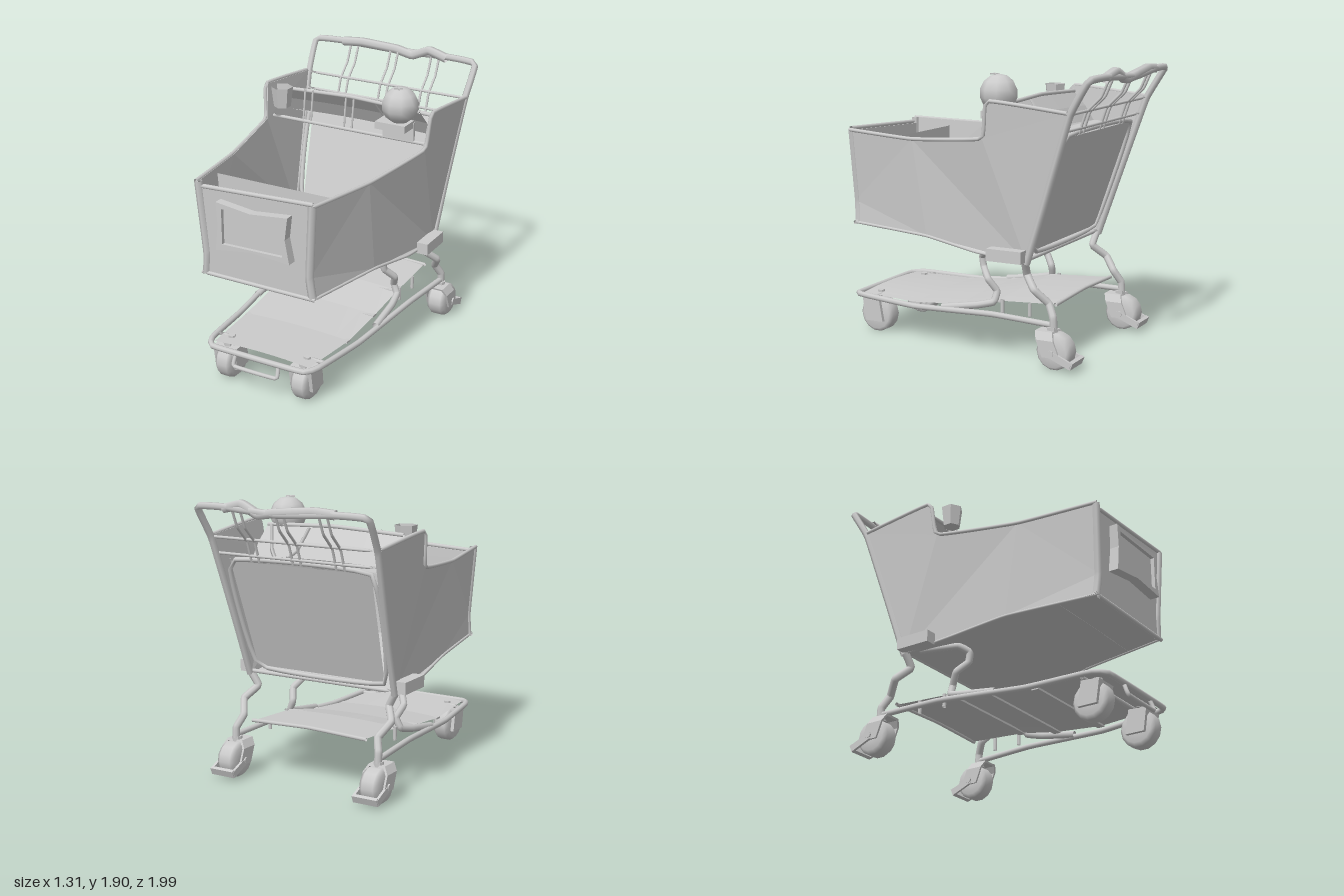
import * as THREE from 'three';

const V = (x, y, z) => new THREE.Vector3(x, y, z);
const grey = new THREE.MeshStandardMaterial({ color: 0xcccccc, side: THREE.DoubleSide, flatShading: true });
const smooth = new THREE.MeshStandardMaterial({ color: 0xcccccc, side: THREE.DoubleSide });

export function createModel() {
  const root = new THREE.Group();
  const add = (name, geo, pos = [0, 0, 0], mat = grey, parent = root) => {
    const m = new THREE.Mesh(geo, mat);
    m.name = name;
    m.position.set(...pos);
    parent.add(m);
    return m;
  };
  const box = (name, size, pos, parent = root) => add(name, new THREE.BoxGeometry(...size), pos, grey, parent);
  // Bent pipe through points, with tight corners
  const pipe = (name, pts, r, closed = false, sides = 8) => {
    const c = new THREE.CatmullRomCurve3(pts.map(p => V(...p)), closed, 'catmullrom', 0.15);
    return add(name, new THREE.TubeGeometry(c, pts.length * 8, r, sides, closed), [0, 0, 0], smooth);
  };
  // Sheet from cross-sections [halfWidth, y, z], raised by bulge in the middle
  const sheet = (name, rows, bulge = 0) => {
    const n = 8, g = new THREE.PlaneGeometry(1, 1, n, rows.length - 1), p = g.attributes.position;
    rows.forEach(([w, y, z], j) => {
      for (let i = 0; i <= n; i++) {
        const u = i / n * 2 - 1;
        p.setXYZ(j * (n + 1) + i, u * w, y + bulge * (1 - u * u), z);
      }
    });
    g.computeVertexNormals();
    return add(name, g);
  };
  const outline = pts => new THREE.Shape(pts.map(p => new THREE.Vector2(...p)));
  const extrude = (shape, depth) => new THREE.ExtrudeGeometry(shape, { depth, bevelEnabled: false });

  // Half width of the basket at a height and depth
  const halfWidth = (z, y) => {
    const t = Math.min(1, Math.max(0, (0.94 - z) / 1.14));
    const pinch = z > 0.8 ? 0.035 * Math.max(0, 1 - Math.abs(y - 0.93) / 0.4) : 0;
    return 0.425 + 0.195 * t - 0.055 * t * (1.45 - y) / 0.75 - pinch;
  };

  // Basket sides with rim pipes
  const sideOutline = [[0.92, 0.78], [0.93, 0.93], [0.95, 1.42], [0.4, 1.4], [-0.18, 1.45], [-0.23, 1.69],
    [-0.78, 1.64], [-0.6, 1.05], [-0.47, 0.67], [-0.1, 0.70], [0.3, 0.76]];
  for (const s of [1, -1]) {
    const g = extrude(outline(sideOutline), 0.016), p = g.attributes.position;
    for (let i = 0; i < p.count; i++) {
      const z = p.getX(i), y = p.getY(i), d = p.getZ(i);
      p.setXYZ(i, s * (halfWidth(z, y) - d), y, z);
    }
    g.computeVertexNormals();
    add('basketSide', g);
    const on = ([z, y]) => [s * halfWidth(z, y), y, z];
    pipe('sideRim', sideOutline.slice(2, 7).map(on), 0.013);
    pipe('sideBottomRim', [...sideOutline.slice(8), sideOutline[0]].map(on), 0.01);
    pipe('frontCornerPost', sideOutline.slice(0, 3).map(([z, y]) => [s * (halfWidth(z, y) - 0.012), y, z - 0.012]), 0.027, false, 6);
  }

  // Basket floor, front panel and inner board
  sheet('basketFloor', [[0.42, 0.78, 0.92], [0.49, 0.76, 0.3], [0.54, 0.70, -0.1], [0.56, 0.67, -0.47]]);
  const front = add('frontPanel', extrude(outline([[-0.42, 0.78], [-0.38, 0.93], [-0.42, 1.38], [0.42, 1.42],
    [0.38, 0.93], [0.42, 0.78]]), 0.02), [0, 0, 0.9]);
  front.geometry.translate(0, -0.78, 0).rotateX(0.03).translate(0, 0.78, 0);
  pipe('frontTopRim', [[-0.42, 1.39, 0.94], [0.42, 1.43, 0.94]], 0.015);
  pipe('frontBottomRim', [[-0.42, 0.78, 0.92], [0.42, 0.78, 0.92]], 0.014);
  sheet('innerBoard', [[0.455, 1.37, 0.67], [0.43, 0.77, 0.66]]);

  // Framed plate on the front
  const frame = outline([[-0.25, 1.33], [0, 1.3], [0.27, 1.33], [0.25, 1.18], [0.28, 1.02], [0, 1.04], [-0.26, 1.0], [-0.24, 1.17]]);
  frame.holes.push(outline([[-0.21, 1.29], [-0.21, 1.05], [0.23, 1.06], [0.23, 1.29]]));
  add('plateFrame', extrude(frame, 0.07), [0, 0, 0.925]);
  box('plate', [0.46, 0.25, 0.05], [0.01, 1.17, 0.945]);

  // Rear gate hung between the uprights
  const gateZ = y => -0.45 - (y - 0.66) * 0.325;
  sheet('rearGate', [[0.53, 1.47, gateZ(1.47)], [0.49, 0.73, gateZ(0.73)]]);
  pipe('gateFrame', [[-0.53, 1.47, gateZ(1.47)], [0.53, 1.47, gateZ(1.47)], [0.49, 0.73, gateZ(0.73)], [-0.49, 0.73, gateZ(0.73)]], 0.016, true);
  pipe('gateHinge', [[-0.56, 0.68, -0.46], [0.56, 0.68, -0.46]], 0.014);
  pipe('gateTopBar', [[-0.6, 1.52, -0.745], [0.6, 1.52, -0.745]], 0.01);
  pipe('backBar', [[-0.62, 1.63, -0.785], [0.62, 1.63, -0.785]], 0.01);

  // Uprights and handle
  pipe('handleFrame', [[-0.56, 0.66, -0.47], [-0.58, 1.05, -0.6], [-0.62, 1.62, -0.79], [-0.63, 1.84, -0.92], [-0.4, 1.85, -0.94],
    [0, 1.83, -0.97], [0.4, 1.85, -0.94], [0.63, 1.84, -0.92], [0.62, 1.62, -0.79], [0.58, 1.05, -0.6], [0.56, 0.66, -0.47]], 0.024, false, 6);
  pipe('handleGrip', [[-0.41, 1.85, -0.93], [-0.26, 1.86, -0.94], [0, 1.84, -0.965], [0.14, 1.82, -0.95], [0.27, 1.875, -0.94],
    [0.41, 1.84, -0.93]], 0.033, false, 6);
  for (const x of [-0.32, 0, 0.32]) for (const d of [-0.03, 0.03]) {
    pipe('backWire', [[x + d, 1.83, -0.93], [x + d, 1.72, -0.88], [x + d, 1.62, -0.78], [x + d, 1.48, -0.73]], 0.009, false, 6);
    pipe('seatWire', [[x + d, 1.68, -0.28], [x + d, 1.46, -0.25]], 0.008, false, 6);
  }

  // Folding child seat with a forward-leaning backrest
  sheet('seat', [[0.54, 1.48, -0.71], [0.55, 1.46, -0.58], [0.55, 1.46, -0.43]]);
  sheet('backrest', [[0.55, 1.46, -0.43], [0.54, 1.56, -0.37], [0.52, 1.66, -0.29]], 0.015);
  pipe('seatTopRim', [[-0.52, 1.66, -0.29], [0, 1.68, -0.29], [0.52, 1.66, -0.29]], 0.014);
  pipe('seatBottomRim', [[-0.59, 1.46, -0.25], [0.59, 1.46, -0.25]], 0.013);
  for (const [a, b] of [[0.18, 0.23], [0.48, 0.33]])
    pipe('seatBelt', [[a, 1.66, -0.31], [(a + b) / 2, 1.52, -0.42], [b, 1.48, -0.5]], 0.014, false, 4);

  // Cup holder, ball and its tray
  add('cupHolder', new THREE.CylinderGeometry(0.075, 0.058, 0.14, 6, 1, true), [-0.47, 1.64, -0.17]);
  add('cupBase', new THREE.CylinderGeometry(0.06, 0.058, 0.015, 6), [-0.47, 1.58, -0.17]);
  box('ballTray', [0.22, 0.05, 0.14], [0.39, 1.585, -0.18]);
  box('trayBack', [0.23, 0.13, 0.02], [0.39, 1.53, -0.245]);
  add('ball', new THREE.SphereGeometry(0.125, 9, 7), [0.42, 1.72, -0.2], smooth);
  for (const a of [0.6, 2.2]) box('ballStem', [0.06, 0.01, 0.01], [0.42, 1.842, -0.17]).rotation.y = a;

  // Lower tray
  const tray = [[0.36, 0.275, 0.9], [0.4, 0.265, 0.45], [0.41, 0.3, 0.1], [0.43, 0.36, -0.2], [0.43, 0.385, -0.62]];
  sheet('lowerTray', tray, 0.015);
  for (const i of [1, 2, 3]) box('trayStrap', [tray[i][0] * 2, 0.014, 0.05], [0, tray[i][1] - 0.004, tray[i][2]]);
  pipe('trayRearBar', [[-0.44, 0.385, -0.62], [0, 0.4, -0.62], [0.44, 0.385, -0.62]], 0.013);
  pipe('baseRail', [[-0.55, 0.28, -0.66], [-0.52, 0.29, -0.2], [-0.46, 0.255, 0.42], [-0.41, 0.27, 0.85], [-0.34, 0.265, 0.95], [0.34, 0.265, 0.95],
    [0.41, 0.27, 0.85], [0.46, 0.255, 0.42], [0.52, 0.29, -0.2], [0.55, 0.28, -0.66]], 0.02);
  pipe('crossBar', [[-0.41, 0.265, 0.78], [0.41, 0.265, 0.78]], 0.014);
  pipe('frontLoop', [[-0.16, 0.26, 0.95], [-0.16, 0.18, 0.98], [0.16, 0.18, 0.98], [0.16, 0.26, 0.95]], 0.014);

  // Wheel with axle and swivel; each fork is added below
  const caster = (x, z, r, w) => {
    const c = new THREE.Group();
    c.name = 'caster';
    c.position.set(x, r, z);
    root.add(c);
    const profile = [[0.03, -w / 2], [r * 0.82, -w / 2], [r, -w * 0.3], [r, w * 0.3], [r * 0.82, w / 2], [0.03, w / 2]];
    add('wheel', new THREE.LatheGeometry(profile.map(p => new THREE.Vector2(...p)), 14).rotateZ(Math.PI / 2), [0, 0, 0], smooth, c);
    add('swivel', new THREE.CylinderGeometry(0.035, 0.035, 0.04, 8), [0, 0.25 - r, 0.03], grey, c);
    return c;
  };
  for (const s of [1, -1]) {
    pipe('rearLeg', [[0.56, 0.67, -0.46], [0.51, 0.58, -0.45], [0.57, 0.5, -0.53], [0.52, 0.41, -0.61], [0.55, 0.33, -0.655],
      [0.55, 0.26, -0.66]].map(([x, y, z]) => [s * x, y, z]), 0.026);
    pipe('frontLeg', [[0.5, 0.69, -0.38], [0.44, 0.68, -0.12], [0.39, 0.64, -0.06], [0.39, 0.57, -0.07], [0.44, 0.5, -0.13], [0.41, 0.42, -0.18],
      [0.44, 0.35, -0.17], [0.46, 0.32, -0.05], [0.47, 0.28, 0.2]].map(([x, y, z]) => [s * x, y, z]), 0.024);
    box('cornerBracket', [0.08, 0.08, 0.25], [s * 0.6, 0.71, -0.345]);
    for (const z of [-0.23, -0.43]) pipe('trayPost', [[s * 0.43, 0.28, z], [s * 0.43, 0.37, z]], 0.013);
    add('trayBolt', new THREE.CylinderGeometry(0.025, 0.025, 0.015, 8), [s * 0.29, 0.285, 0.8]);

    // Front caster with a closed fender
    const lead = caster(s * 0.29, 0.81, 0.128, 0.12);
    const fender = extrude(outline([[0.09, 0.11], [-0.04, 0.12], [-0.07, -0.045], [0.065, -0.045]]), 0.17);
    add('fender', fender.rotateY(-Math.PI / 2).translate(0.085, 0, 0), [0, 0, 0], grey, lead);

    // Rear caster with an arched fork and a brake
    const rear = caster(s * 0.55, -0.68, 0.12, 0.135);
    const arch = outline([[-0.09, -0.03], [-0.09, 0.08], [-0.06, 0.13], [0.06, 0.13], [0.09, 0.08], [0.09, -0.03],
      [0.076, -0.03], [0.076, 0.075], [0.05, 0.118], [-0.05, 0.118], [-0.076, 0.075], [-0.076, -0.03]]);
    const fork = add('fork', extrude(arch, 0.12), [0, 0, 0], grey, rear), p = fork.geometry.attributes.position;
    for (let i = 0; i < p.count; i++) p.setZ(i, p.getZ(i) - 0.06 + 0.4 * (p.getY(i) + 0.03));
    fork.geometry.computeVertexNormals();
    add('axle', new THREE.CylinderGeometry(0.022, 0.022, 0.2, 8).rotateZ(Math.PI / 2), [0, 0, 0], grey, rear);
    for (const d of [-0.085, 0.085]) box('brakeArm', [0.018, 0.045, 0.16], [d, -0.035, -0.065], rear).rotation.x = -0.4;
    box('brakePedal', [0.18, 0.05, 0.025], [0, -0.062, -0.135], rear).rotation.x = -0.4;
  }
  return root;
}
